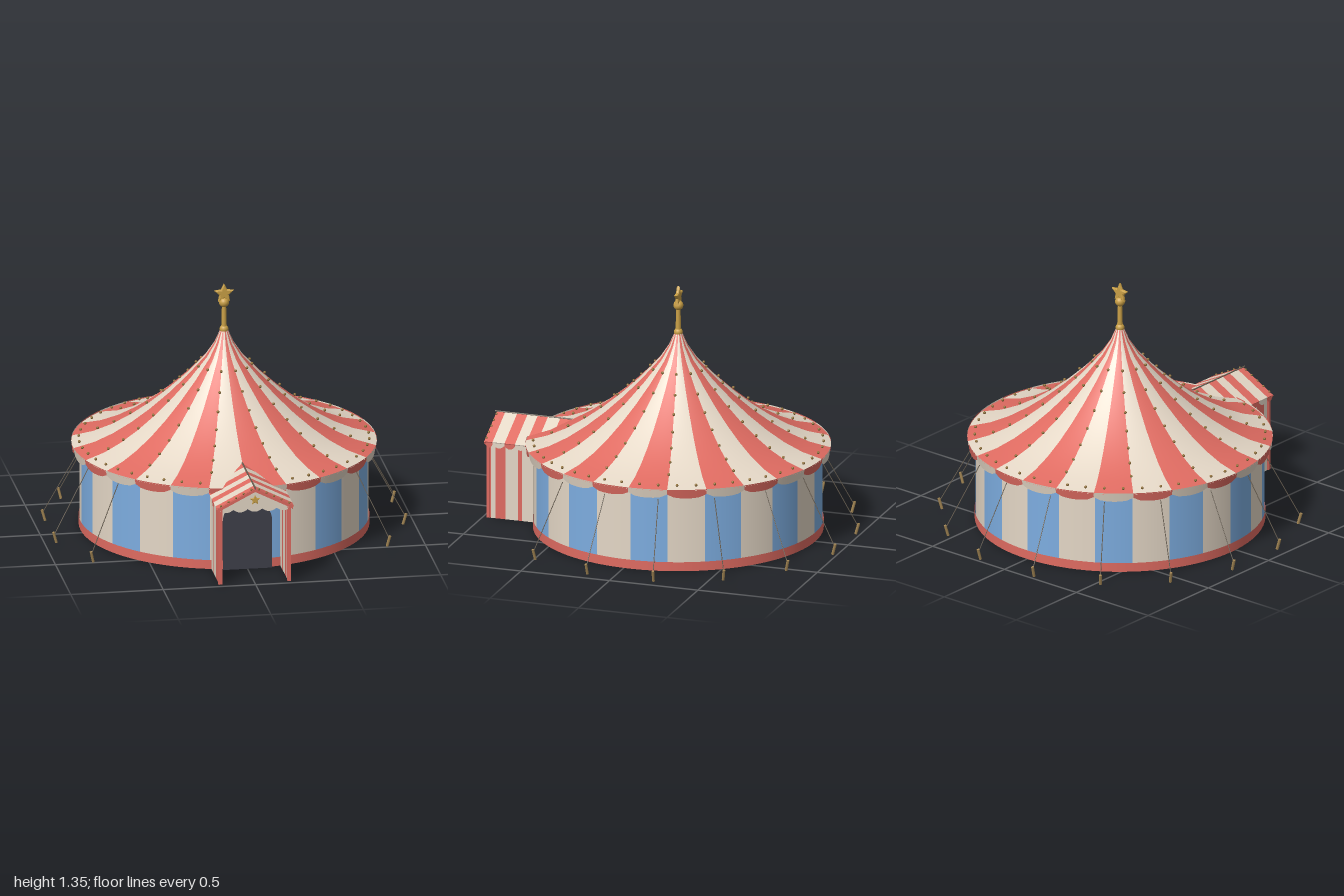
import * as THREE from 'three';
import { mergeGeometries } from 'three/addons/utils/BufferGeometryUtils.js';

const CZ = -0.04;              // tent axis
const N = 24;                  // stripes around the tent
const STEP = (Math.PI * 2) / N;

function mat(name, color, double = false) {
  const m = new THREE.MeshStandardMaterial({ color });
  m.name = name;
  if (double) m.side = THREE.DoubleSide;
  return m;
}

export function createModel() {
  const red = mat('red canvas', 0xdf6b61, true);
  const cream = mat('cream canvas', 0xe4d7c6, true);
  const blue = mat('blue canvas', 0x7dade0, true);
  const dark = mat('dark doorway', 0x3e3f4a);
  const gold = mat('gold', 0xcaa046);
  const bulbMat = mat('bulb brass', 0x94733a);
  const rope = mat('rope', 0x6b6153);
  const wood = mat('stake wood', 0xa38654);

  const model = new THREE.Group();
  const tent = new THREE.Group();
  tent.name = 'tent';
  tent.position.z = CZ;
  model.add(tent);

  const add = (parent, name, geo, material, x = 0, y = 0, z = 0) => {
    const m = new THREE.Mesh(geo, material);
    m.name = name;
    m.position.set(x, y, z);
    parent.add(m);
    return m;
  };
  const V = (x, y, z) => new THREE.Vector3(x, y, z);

  // A rod between two points
  const rod = (parent, name, a, b, r, material) => {
    const d = b.clone().sub(a);
    const m = add(parent, name, new THREE.CylinderGeometry(r, r, d.length(), 6), material);
    m.position.copy(a).addScaledVector(d, 0.5);
    m.quaternion.setFromUnitVectors(V(0, 1, 0), d.normalize());
  };

  // Alternating lathe wedges, merged into one mesh per colour
  const stripes = (name, profile, colours, shape) => {
    const pts = profile.map(([r, y]) => new THREE.Vector2(r, y));
    const sets = [[], []];
    for (let i = 0; i < N; i++) {
      const g = new THREE.LatheGeometry(pts, 6, i * STEP, STEP);
      if (shape) shape(g, i * STEP);
      sets[i % 2].push(g);
    }
    sets.forEach((s, i) => add(tent, name + (i ? 'Odd' : 'Even'), mergeGeometries(s), colours[i]));
  };

  // Wall and its base band
  stripes('wall', [[0.77, 0], [0.77, 0.46]], [blue, cream]);
  add(tent, 'baseBand', new THREE.CylinderGeometry(0.776, 0.776, 0.05, 96, 1, true), red, 0, 0.025, 0);

  // Sweeping roof
  const roof = [[0.815, 0.462], [0.7, 0.492], [0.6, 0.535], [0.5, 0.593], [0.4, 0.663],
    [0.3, 0.745], [0.2, 0.838], [0.1, 0.945], [0.05, 1.02], [0.015, 1.1]];
  stripes('roof', roof, [red, cream]);
  const roofY = (r) => {
    const i = Math.max(1, roof.findIndex(([q]) => q <= r));
    const [r0, y0] = roof[i - 1], [r1, y1] = roof[i];
    return y0 + ((y1 - y0) * (r - r0)) / (r1 - r0);
  };

  // Ringed lining under the roof
  for (let k = 0; k < 9; k++) {
    const pts = [0.768 - k * 0.08, 0.728 - k * 0.08, 0.688 - k * 0.08]
      .map((r) => new THREE.Vector2(r, roofY(r) - 0.008));
    add(tent, 'roofLining', new THREE.LatheGeometry(pts, 72), k % 2 ? cream : red);
  }

  // Scalloped valance hanging from the rim
  stripes('valance', [[0.81, 0.44], [0.815, 0.468]], [cream, red], (g, start) => {
    const p = g.attributes.position;
    for (let i = 0; i < p.count; i += 2) {
      let t = (Math.atan2(p.getX(i), p.getZ(i)) - start) / STEP;
      t -= Math.floor((t + 0.5) / N) * N;
      p.setY(i, 0.44 - 0.022 * Math.sqrt(Math.max(0, Math.sin(Math.PI * t))));
    }
  });

  // Bulbs along the seams and around the rim
  const bulbs = [];
  const bulb = (x, y, z) => bulbs.push(new THREE.SphereGeometry(0.0078, 8, 6).translate(x, y, z));
  for (let k = 0; k < 12; k++) {
    const a = (k + 0.5) * Math.PI / 6;
    for (let r = 0.15; r < 0.72; r += 0.088) bulb(Math.sin(a) * r, roofY(r) + 0.009, Math.cos(a) * r);
  }
  for (let k = 0; k < 48; k++) {
    const a = (k + 0.5) * Math.PI / 24;
    if (Math.cos(a) < 0.965) bulb(Math.sin(a) * 0.775, 0.481, Math.cos(a) * 0.775);
  }
  add(tent, 'roofBulbs', mergeGeometries(bulbs), bulbMat);

  // Guy ropes and stakes, none in front of the entrance
  for (let k = 2; k < 14; k++) {
    const a = (k + 0.5) * Math.PI / 8;
    const at = (r, y) => V(Math.sin(a) * r, y, Math.cos(a) * r);
    rod(tent, 'guyRope', at(0.772, 0.4), at(0.965, 0.05), 0.0024, rope);
    rod(tent, 'stake', at(0.955, 0), at(0.972, 0.06), 0.008, wood);
  }

  // Five-pointed star with softened faces
  const star = (R, depth) => {
    const s = new THREE.Shape();
    const b = depth * 0.4;
    for (let i = 0; i < 10; i++) {
      const a = (i * Math.PI) / 5, r = (i % 2 ? R * 0.5 : R) - b;
      s[i ? 'lineTo' : 'moveTo'](Math.sin(a) * r, Math.cos(a) * r);
    }
    return new THREE.ExtrudeGeometry(s, {
      depth: depth - 2 * b, bevelThickness: b, bevelSize: b, bevelSegments: 2,
    }).translate(0, 0, b - depth / 2);
  };

  // Finial
  add(tent, 'finialPole', new THREE.CylinderGeometry(0.011, 0.016, 0.17, 16), gold, 0, 1.16, 0);
  add(tent, 'finialCollar', new THREE.SphereGeometry(0.024, 16, 10), gold, 0, 1.09, 0);
  add(tent, 'finialBall', new THREE.SphereGeometry(0.027, 16, 12), gold, 0, 1.24, 0);
  add(tent, 'finialStar', star(0.053, 0.02), gold, 0, 1.29, 0);

  // Arched doorway set through the tent wall
  const arch = new THREE.Shape();
  arch.moveTo(-0.132, 0);
  arch.lineTo(0.132, 0);
  arch.lineTo(0.132, 0.263);
  arch.absarc(0, 0.263, 0.132, 0, Math.PI);
  add(model, 'doorway', new THREE.ExtrudeGeometry(arch, { depth: 0.028, bevelEnabled: false, curveSegments: 24 }),
    dark, 0, 0, 0.712);

  // Entrance porch
  const porch = new THREE.Group();
  porch.name = 'porch';
  model.add(porch);
  const EAVE = 0.425, TOP = 0.53, HALF = 0.205, FRONT = 0.98;
  const slope = Math.atan2(TOP - EAVE, HALF), len = Math.hypot(TOP - EAVE, HALF);
  const wallEdges = [0.972, 0.95, 0.925, 0.87, 0.8, 0.775, 0.71];
  const roofEdges = [FRONT, 0.938, 0.87, 0.812, 0.754, 0.696, 0.626, 0.556];

  for (const s of [-1, 1]) {
    // Striped side walls
    for (let i = 0; i < 6; i++) {
      const w = wallEdges[i] - wallEdges[i + 1];
      add(porch, 'porchWall', new THREE.BoxGeometry(0.012, 0.43, w), i % 2 ? cream : red,
        s * 0.186, 0.215, wallEdges[i] - w / 2);
    }
    add(porch, 'porchPost', new THREE.BoxGeometry(0.02, 0.43, 0.018), red, s * 0.186, 0.215, 0.967);

    // Striped roof slopes
    for (let i = 0; i < 7; i++) {
      const w = roofEdges[i] - roofEdges[i + 1], z = roofEdges[i] - w / 2;
      const colour = i % 2 ? cream : red;
      const p = add(porch, 'porchRoof', new THREE.BoxGeometry(len, 0.01, w), colour,
        s * HALF / 2, (TOP + EAVE) / 2, z);
      p.rotation.z = -s * slope;

      // Side valance scallops
      if (i < 4) {
        const c = new THREE.Shape();
        c.moveTo(-w / 2, 0.012);
        c.lineTo(-w / 2, 0);
        c.quadraticCurveTo(0, -0.035, w / 2, 0);
        c.lineTo(w / 2, 0.012);
        const f = add(porch, 'porchScallop', new THREE.ShapeGeometry(c, 8), colour, s * HALF, EAVE - 0.01, z);
        f.rotation.y = s * Math.PI / 2;
      }
    }

    // Gable trim and its bulbs
    const trim = add(porch, 'gableTrim', new THREE.BoxGeometry(len, 0.016, 0.012), red,
      s * HALF / 2, (TOP + EAVE) / 2 - 0.006, FRONT);
    trim.rotation.z = -s * slope;
    for (let i = 0; i < 5; i++) {
      const t = (i + 0.5) / 5;
      add(porch, 'gableBulb', new THREE.SphereGeometry(0.006, 8, 6), bulbMat,
        s * HALF * t, TOP - (TOP - EAVE) * t + 0.008, FRONT);
    }
  }

  // Scalloped gable with a star
  const gable = new THREE.Shape();
  gable.moveTo(0, TOP - 0.005);
  gable.lineTo(-0.195, EAVE);
  gable.lineTo(-0.195, EAVE - 0.008);
  for (let i = 0; i < 5; i++) {
    const x = -0.195 + i * 0.078;
    gable.quadraticCurveTo(x + 0.039, EAVE - 0.04, x + 0.078, EAVE - 0.008);
  }
  gable.lineTo(0.195, EAVE);
  add(porch, 'gable', new THREE.ExtrudeGeometry(gable, { depth: 0.006, bevelEnabled: false }), cream, 0, 0, 0.97);
  add(porch, 'gableStar', star(0.027, 0.008), gold, 0, 0.468, 0.98);
  rod(porch, 'ridgePole', V(0, TOP + 0.006, 0.56), V(0, TOP + 0.006, 0.995), 0.004, rope);

  return model;
}
